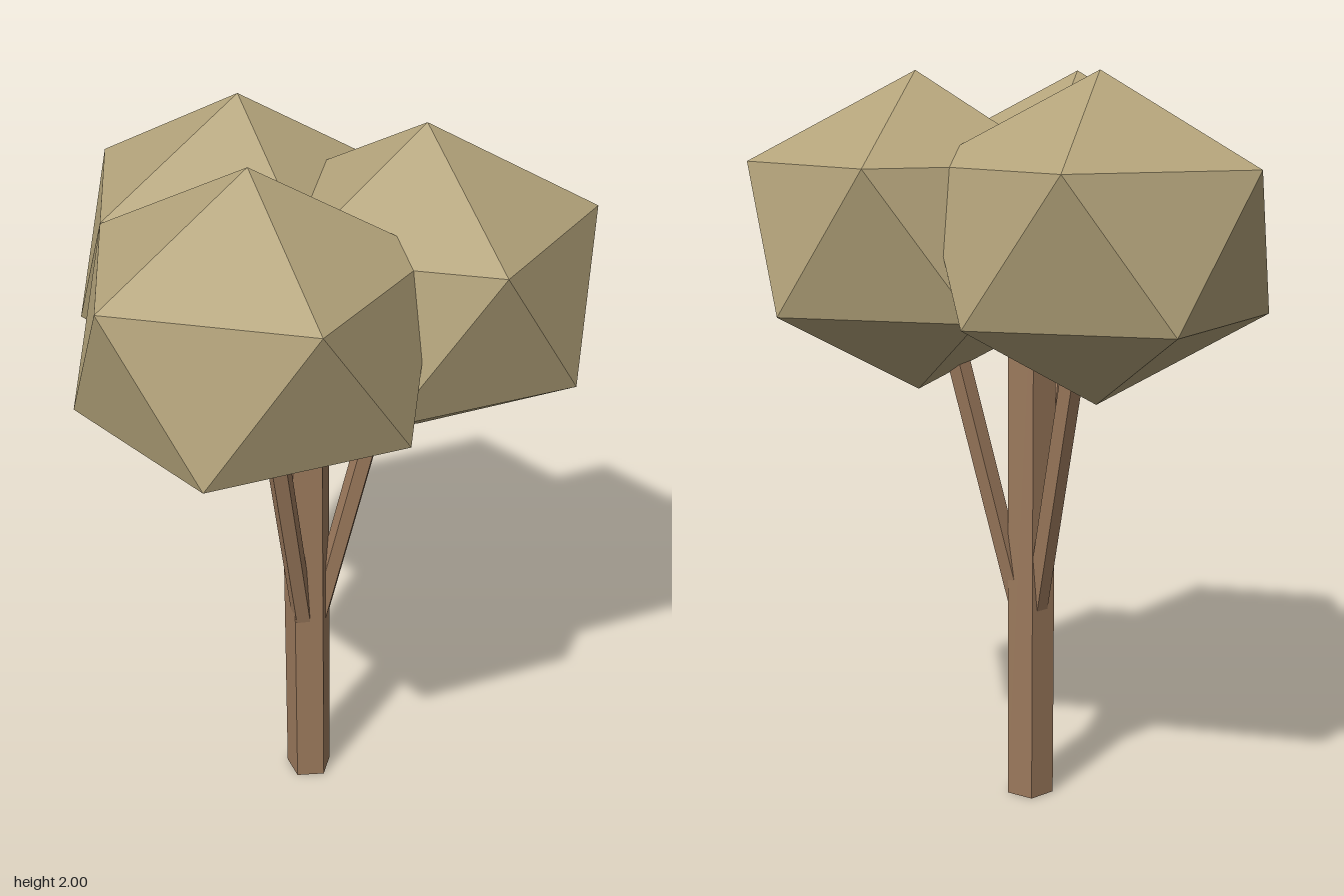
import * as THREE from 'three';

export function createModel() {
  const tree = new THREE.Group();
  tree.name = 'tree';

  const bark = new THREE.MeshStandardMaterial({ color: 0x9b795c, flatShading: true });
  bark.name = 'bark brown';
  const leaf = new THREE.MeshStandardMaterial({ color: 0xb3a37a, flatShading: true });
  leaf.name = 'leaf tan';

  // Five-sided pole between two points, with a corner facing the back
  function pole(name, from, to, radius) {
    const a = new THREE.Vector3(...from);
    const b = new THREE.Vector3(...to);
    const length = a.distanceTo(b);
    const geometry = new THREE.CylinderGeometry(radius, radius, length, 5);
    geometry.rotateY(Math.PI);
    const mesh = new THREE.Mesh(geometry, bark);
    mesh.name = name;
    mesh.position.copy(a).add(b).multiplyScalar(0.5);
    mesh.quaternion.setFromUnitVectors(new THREE.Vector3(0, 1, 0), b.sub(a).normalize());
    tree.add(mesh);
  }

  pole('trunk', [-0.079, 0, 0], [-0.079, 1.55, 0], 0.067);
  pole('branchLeft', [-0.05, 0.55, 0], [0.2, 1.58, 0], 0.032);
  pole('branchFront', [-0.093, 0.55, 0.025], [-0.212, 1.58, 0.24], 0.032);
  pole('branchBack', [-0.093, 0.55, -0.025], [-0.212, 1.58, -0.24], 0.032);

  // Foliage: icosahedron standing on one corner, widened sideways
  const crown = new THREE.IcosahedronGeometry(0.419, 0);
  crown.rotateZ(-Math.atan(2 / (1 + Math.sqrt(5))));
  crown.scale(1.174, 1, 1.174);

  const crowns = {
    foliageLeft: [0.225, 0],
    foliageFront: [-0.225, 0.26],
    foliageBack: [-0.225, -0.26],
  };
  for (const [name, [x, z]] of Object.entries(crowns)) {
    const mesh = new THREE.Mesh(crown, leaf);
    mesh.name = name;
    mesh.position.set(x, 1.581, z);
    tree.add(mesh);
  }

  return tree;
}
